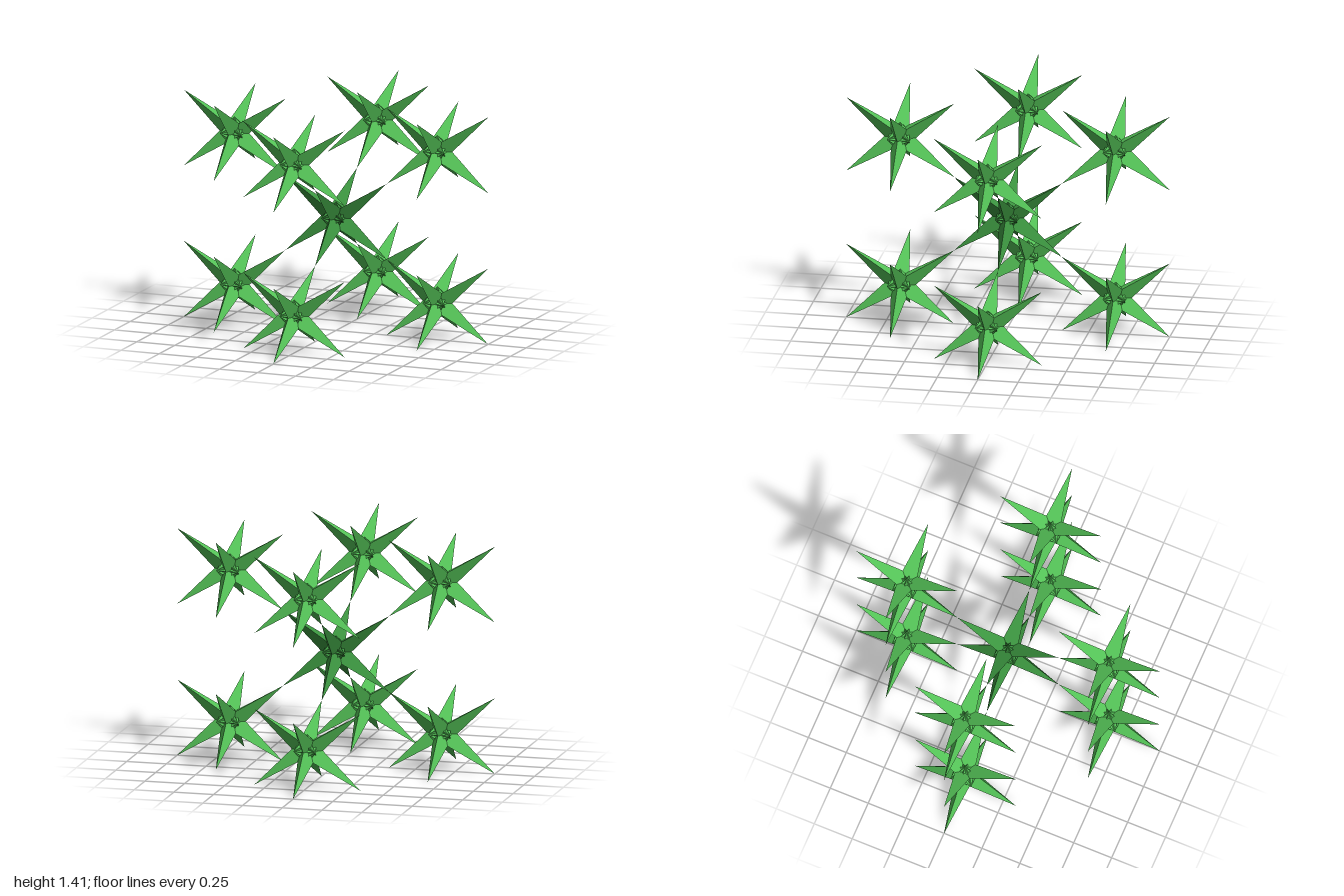
import * as THREE from 'three';

const TIP = Math.SQRT2 / 6;              // half side of the cube whose corners are the spike tips
const PIT = TIP * (Math.SQRT2 - 1);      // distance of the six inner points from the centre

// Eight-spiked star of 24 interpenetrating triangles: each joins a tip
// to two inner points on the opposite side of the centre.
function starGeometry() {
  const points = [];
  for (const sx of [1, -1]) for (const sy of [1, -1]) for (const sz of [1, -1]) {
    const sign = [sx, sy, sz];
    const tip = new THREE.Vector3(sx, sy, sz).multiplyScalar(TIP);
    const inner = (axis) => new THREE.Vector3().setComponent(axis % 3, -sign[axis % 3] * PIT);
    for (let k = 0; k < 3; k++) {
      const a = inner(k + 1), b = inner(k + 2);
      points.push(tip, ...(sx * sy * sz > 0 ? [a, b] : [b, a])); // keep faces outward
    }
  }
  const geometry = new THREE.BufferGeometry().setFromPoints(points);
  geometry.rotateY(Math.PI / 4);         // spikes point along x and z
  geometry.computeVertexNormals();
  return geometry;
}

export function createModel() {
  const model = new THREE.Group();
  model.name = 'starCluster';
  const geometry = starGeometry();
  const material = (color) =>
    new THREE.MeshStandardMaterial({ color, flatShading: true, side: THREE.DoubleSide });
  const outer = material(0x55c458);
  const inner = material(0x3c9640);

  const addStar = (name, mat, x, y, z) => {
    const star = new THREE.Mesh(geometry, mat);
    star.name = name;
    star.position.set(x, y, z);
    model.add(star);
  };

  // Darker star in the middle, touching the eight others at its tips
  addStar('centreStar', inner, 0, 3 * TIP, 0);

  // A ring of four stars below and another above
  for (const [level, y] of [['lower', TIP], ['upper', 5 * TIP]]) {
    for (const [side, x, z] of [['Left', 1, 0], ['Right', -1, 0], ['Front', 0, 1], ['Back', 0, -1]]) {
      addStar(`${level}${side}Star`, outer, x * 2 / 3, y, z * 2 / 3);
    }
  }
  return model;
}
